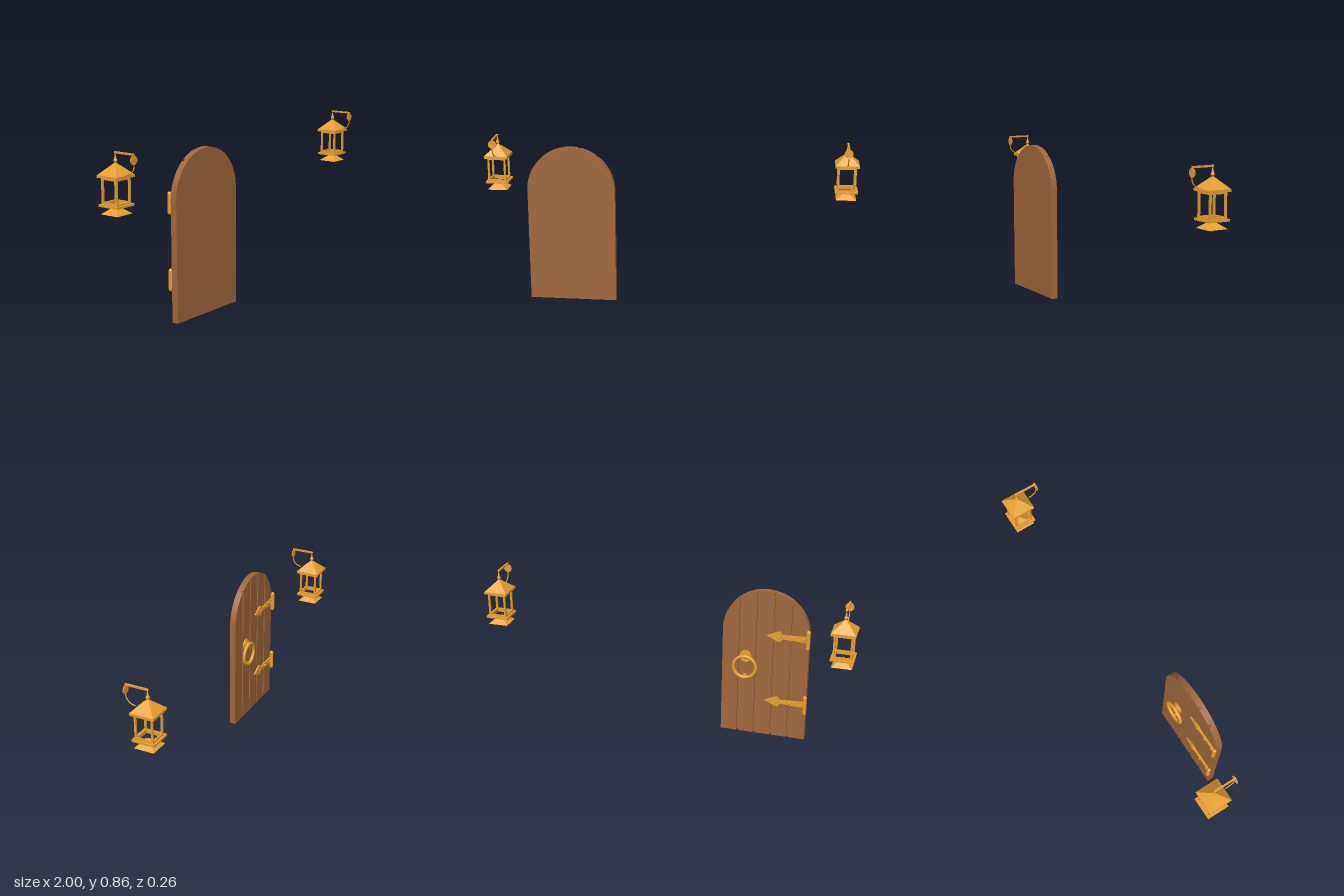
import * as THREE from 'three';

const wood = new THREE.MeshStandardMaterial({ color: 0xa0683c });
const brass = new THREE.MeshStandardMaterial({ color: 0xe8a030 });
const brassFlat = new THREE.MeshStandardMaterial({ color: 0xe8a030, flatShading: true });

function add(parent, name, geometry, material, x = 0, y = 0, z = 0) {
  const mesh = new THREE.Mesh(geometry, material);
  mesh.name = name;
  mesh.position.set(x, y, z);
  parent.add(mesh);
  return mesh;
}

// Square ring lying flat, centred on the origin
function squareFrame(outer, inner, height) {
  const square = (h) => [[-h, -h], [h, -h], [h, h], [-h, h]].map((p) => new THREE.Vector2(...p));
  const shape = new THREE.Shape(square(outer));
  shape.holes.push(new THREE.Path(square(inner).reverse()));
  const g = new THREE.ExtrudeGeometry(shape, { depth: height, bevelEnabled: false });
  return g.translate(0, 0, -height / 2).rotateX(-Math.PI / 2);
}

function pyramid(half, height) {
  return new THREE.ConeGeometry(half * Math.SQRT2, height, 4).rotateY(Math.PI / 4);
}

// Disc whose axis runs along z
function disc(radius, depth) {
  return new THREE.CylinderGeometry(radius, radius, depth, 24).rotateX(Math.PI / 2);
}

function ball(radius) {
  return new THREE.SphereGeometry(radius, 16, 12);
}

// Slice of the arched door between two x positions, relative to the door centre
const doorHalf = 0.2325, springY = 0.606;
function archSlice(x0, x1, depth) {
  const steps = Math.ceil((x1 - x0) / doorHalf * 24);
  const a0 = Math.acos(x1 / doorHalf), a1 = Math.acos(x0 / doorHalf);
  const pts = [new THREE.Vector2(x0, 0), new THREE.Vector2(x1, 0)];
  for (let i = 0; i <= steps; i++) {
    const a = a0 + (a1 - a0) * i / steps;
    pts.push(new THREE.Vector2(Math.cos(a) * doorHalf, springY + Math.sin(a) * doorHalf));
  }
  return new THREE.ExtrudeGeometry(new THREE.Shape(pts), { depth, bevelEnabled: false });
}

function createHinge(y) {
  const hinge = new THREE.Group();
  hinge.name = 'hinge';
  hinge.position.set(-0.2275, y, 0);
  add(hinge, 'hingeBarrel', new THREE.CapsuleGeometry(0.011, 0.092, 6, 16), brass, 0, 0, 0.087);
  // Strap with a spade-shaped tip
  const half = [[0, 0.017], [0.12, 0.011], [0.135, 0.012], [0.15, 0.029], [0.17, 0.025], [0.195, 0.011], [0.222, 0]];
  const outline = [...half, ...half.slice(0, -1).reverse().map(([x, h]) => [x, -h])];
  const shape = new THREE.Shape(outline.map((p) => new THREE.Vector2(...p)));
  add(hinge, 'hingeStrap', new THREE.ExtrudeGeometry(shape, { depth: 0.009, bevelEnabled: false }), brass, 0, 0, 0.09);
  for (const x of [0.025, 0.085, 0.155]) add(hinge, 'rivet', ball(0.007), brass, x, 0, 0.09);
  return hinge;
}

function createDoor() {
  const door = new THREE.Group();
  door.name = 'door';
  door.position.x = -0.5025;
  add(door, 'doorSlab', archSlice(-doorHalf, doorHalf, 0.022), wood, 0, 0, 0.11);
  // Five planks with gaps between them
  const width = doorHalf * 2 / 5, gap = 0.005;
  for (let i = 0; i < 5; i++) {
    const x0 = -doorHalf + i * width + (i > 0 ? gap : 0);
    const x1 = -doorHalf + (i + 1) * width - (i < 4 ? gap : 0);
    add(door, 'plank', archSlice(x0, Math.min(x1, doorHalf), 0.012), wood, 0, 0, 0.098);
  }
  door.add(createHinge(0.593), createHinge(0.212));

  // Ring handle on a stepped plate, with a striking stud below
  const knocker = new THREE.Group();
  knocker.name = 'ringHandle';
  knocker.position.x = 0.1045;
  add(knocker, 'handlePlate', disc(0.033, 0.006), brass, 0, 0.457, 0.095);
  add(knocker, 'handlePlateStep', disc(0.026, 0.006), brass, 0, 0.457, 0.09);
  add(knocker, 'handleBoss', disc(0.014, 0.014), brass, 0, 0.457, 0.081);
  add(knocker, 'ring', new THREE.TorusGeometry(0.061, 0.009, 12, 40), brass, 0, 0.401, 0.076);
  add(knocker, 'strikingStud', disc(0.015, 0.006), brass, 0, 0.338, 0.095);
  add(knocker, 'strikingStudTip', disc(0.008, 0.012), brass, 0, 0.338, 0.088);
  door.add(knocker);
  return door;
}

function createLantern(x) {
  const lantern = new THREE.Group();
  lantern.name = 'lantern';
  lantern.position.set(x, 0, -0.065);

  // Roof, cage and base
  add(lantern, 'roof', pyramid(0.062, 0.06), brassFlat, 0, 0.775, 0);
  add(lantern, 'roofRim', squareFrame(0.063, 0.045, 0.013), brassFlat, 0, 0.739, 0);
  add(lantern, 'topRail', squareFrame(0.049, 0.039, 0.01), brassFlat, 0, 0.728, 0);
  add(lantern, 'bottomRail', squareFrame(0.049, 0.039, 0.009), brassFlat, 0, 0.6095, 0);
  add(lantern, 'baseRim', squareFrame(0.06, 0.039, 0.011), brassFlat, 0, 0.5995, 0);
  for (const sx of [-1, 1]) for (const sz of [-1, 1]) {
    add(lantern, 'post', new THREE.BoxGeometry(0.01, 0.128, 0.01), brassFlat, sx * 0.044, 0.669, sz * 0.044);
  }
  add(lantern, 'basePyramid', pyramid(0.053, 0.041), brassFlat, 0, 0.5775, 0);
  add(lantern, 'baseFinial', ball(0.009), brass, 0, 0.551, 0);

  // Hanger
  add(lantern, 'roofFinial', ball(0.01), brass, 0, 0.812, 0);
  add(lantern, 'hangerCone', new THREE.CylinderGeometry(0.002, 0.007, 0.026, 12), brass, 0, 0.831, 0);
  add(lantern, 'armTip', ball(0.006), brass, 0, 0.851, 0);

  // Wall bracket with a curved brace
  add(lantern, 'arm', new THREE.BoxGeometry(0.009, 0.009, 0.12), brassFlat, 0, 0.851, 0.058);
  add(lantern, 'wallPlate', disc(0.0225, 0.005), brass, 0, 0.825, 0.116);
  const curve = new THREE.CatmullRomCurve3([0, 1, 2, 3, 4, 5, 6].map((i) => {
    const a = i / 6 * Math.PI / 2;
    return new THREE.Vector3(0, 0.802 - Math.sin(a) * 0.05, 0.069 + Math.cos(a) * 0.049);
  }));
  add(lantern, 'brace', new THREE.TubeGeometry(curve, 20, 0.003, 8), brass);
  add(lantern, 'braceTip', ball(0.003), brass, 0, 0.752, 0.069);
  return lantern;
}

export function createModel() {
  const model = new THREE.Group();
  model.name = 'doorAndLanterns';
  model.add(createDoor(), createLantern(-0.936), createLantern(0.936));
  return model;
}
